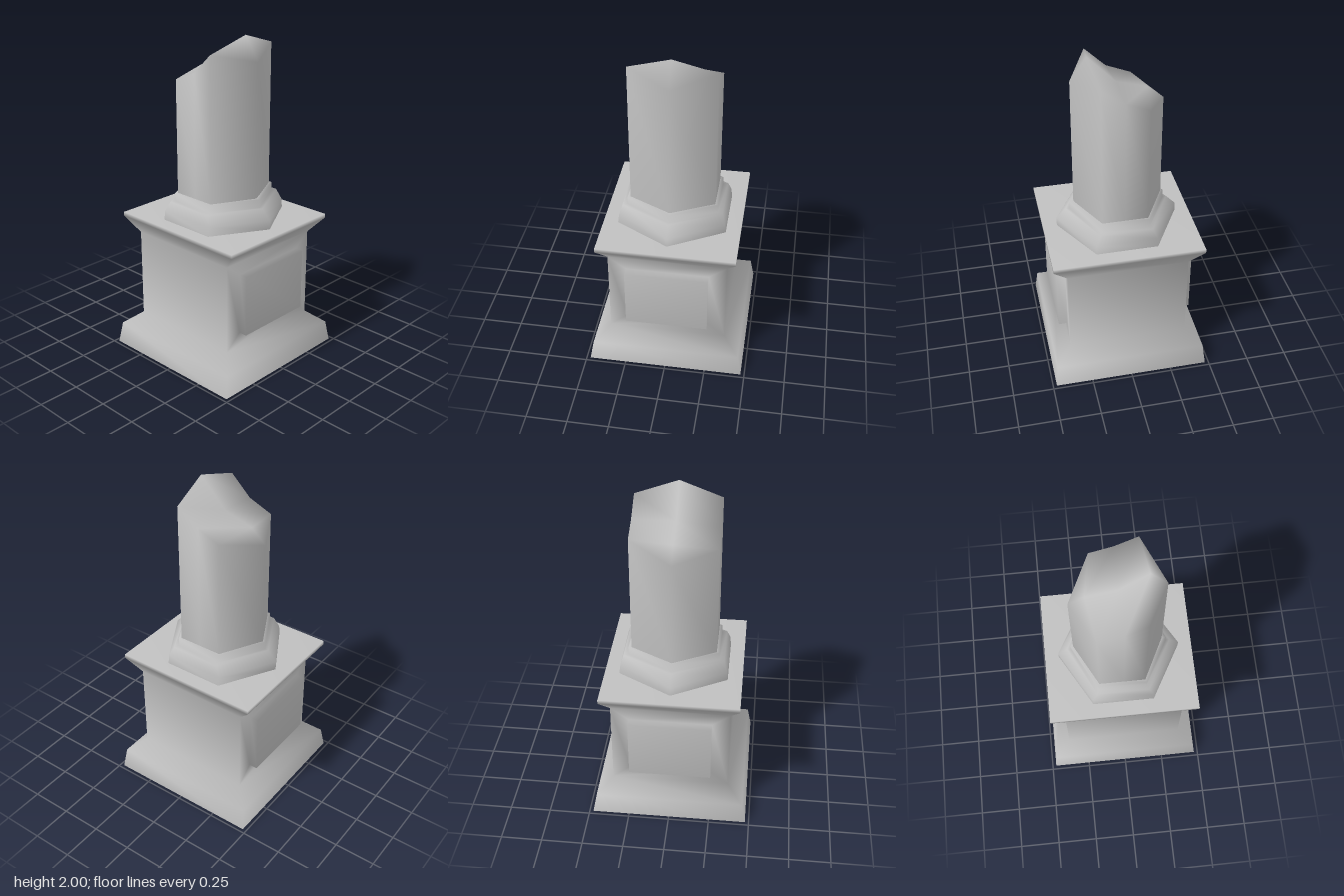
import * as THREE from 'three';
import { mergeVertices } from 'three/addons/utils/BufferGeometryUtils.js';

const stone = new THREE.MeshStandardMaterial({ color: 0xc0c0c0, side: THREE.DoubleSide });
stone.name = 'grey stone';

// Fan-triangulate polygons, weld shared corners and smooth the normals
function polyMesh(name, polys) {
  const pos = [];
  for (const p of polys)
    for (let k = 1; k < p.length - 1; k++) pos.push(...p[0], ...p[k], ...p[k + 1]);
  let g = new THREE.BufferGeometry();
  g.setAttribute('position', new THREE.Float32BufferAttribute(pos, 3));
  g = mergeVertices(g, 1e-4);
  g.computeVertexNormals();
  const mesh = new THREE.Mesh(g, stone);
  mesh.name = name;
  return mesh;
}

// Quads between two loops of equal length
function bridge(a, b) {
  return a.map((p, i) => {
    const j = (i + 1) % a.length;
    return [p, b[i], b[j], a[j]];
  });
}

// Square and hexagonal cross-sections, running from +x towards +z
const square = (y, x, z) => [[x, y, -z], [x, y, z], [-x, y, z], [-x, y, -z]];
const hex = (y, x, z) => [
  [x, y, 0], [x / 2, y, z], [-x / 2, y, z], [-x, y, 0], [-x / 2, y, -z], [x / 2, y, -z],
];

// Square pedestal: open below, flared foot and cap, raised panel on each side
function makePedestal() {
  const rings = [
    square(0, 0.477, 0.477),
    square(0.13, 0.462, 0.453),
    square(0.21, 0.365, 0.358),
    square(0.76, 0.365, 0.358),
    square(0.86, 0.453, 0.413),
    square(0.885, 0.453, 0.413),
  ];
  const polys = [];
  for (let r = 0; r < rings.length - 1; r++) {
    bridge(rings[r], rings[r + 1]).forEach((wall, i) => {
      if (r !== 2 || i % 2) return polys.push(wall);
      // Side wall: frame, panel edge and panel face
      const s = i === 0 ? 1 : -1;
      const panel = (x) => [
        [s * x, 0.3, -s * 0.25], [s * x, 0.68, -s * 0.25],
        [s * x, 0.68, s * 0.25], [s * x, 0.3, s * 0.25],
      ];
      const inner = panel(0.365), outer = panel(0.417);
      for (const [a, b] of [[wall, inner], [inner, outer]])
        a.forEach((p, k) => {
          const n = (k + 1) % 4;
          polys.push([p, a[n], b[n], b[k]]);
        });
      polys.push(outer);
    });
  }
  polys.push([...rings[5]].reverse());
  return polyMesh('pedestal', polys);
}

// Stepped hexagonal plinth under the column
function makePlinth() {
  const rings = [
    hex(0.885, 0.368, 0.325), hex(0.94, 0.368, 0.318), hex(1.0, 0.31, 0.3),
    hex(1.0, 0.288, 0.27), hex(1.05, 0.288, 0.27), hex(1.05, 0.25, 0.235),
  ];
  const polys = [];
  for (let r = 0; r < rings.length - 1; r++) polys.push(...bridge(rings[r], rings[r + 1]));
  return polyMesh('plinth', polys);
}

// Hexagonal column with a jagged, broken top
function makeColumn() {
  const rim = [
    [0.262, 1.86, 0], [0.135, 1.92, 0.253], [0.01, 1.8, 0.253], [-0.138, 1.74, 0.253],
    [-0.273, 1.7, 0], [-0.138, 1.775, -0.253], [0, 1.83, -0.253], [0.135, 1.92, -0.253],
  ];
  const foot = rim.map(([x, , z]) => [x, 1.045, z]);
  const a = [0.165, 2, 0], b = [0, 1.83, 0], c = [-0.18, 1.78, 0]; // ridge of the break
  return polyMesh('brokenColumn', [
    ...bridge(foot, rim),
    [a, rim[1], rim[0]], [a, b, rim[2], rim[1]], [b, c, rim[3], rim[2]], [c, rim[4], rim[3]],
    [c, rim[5], rim[4]], [c, b, rim[6], rim[5]], [b, a, rim[7], rim[6]], [a, rim[0], rim[7]],
  ]);
}

export function createModel() {
  const model = new THREE.Group();
  model.name = 'brokenColumnOnPedestal';
  model.add(makePedestal(), makePlinth(), makeColumn());
  return model;
}
